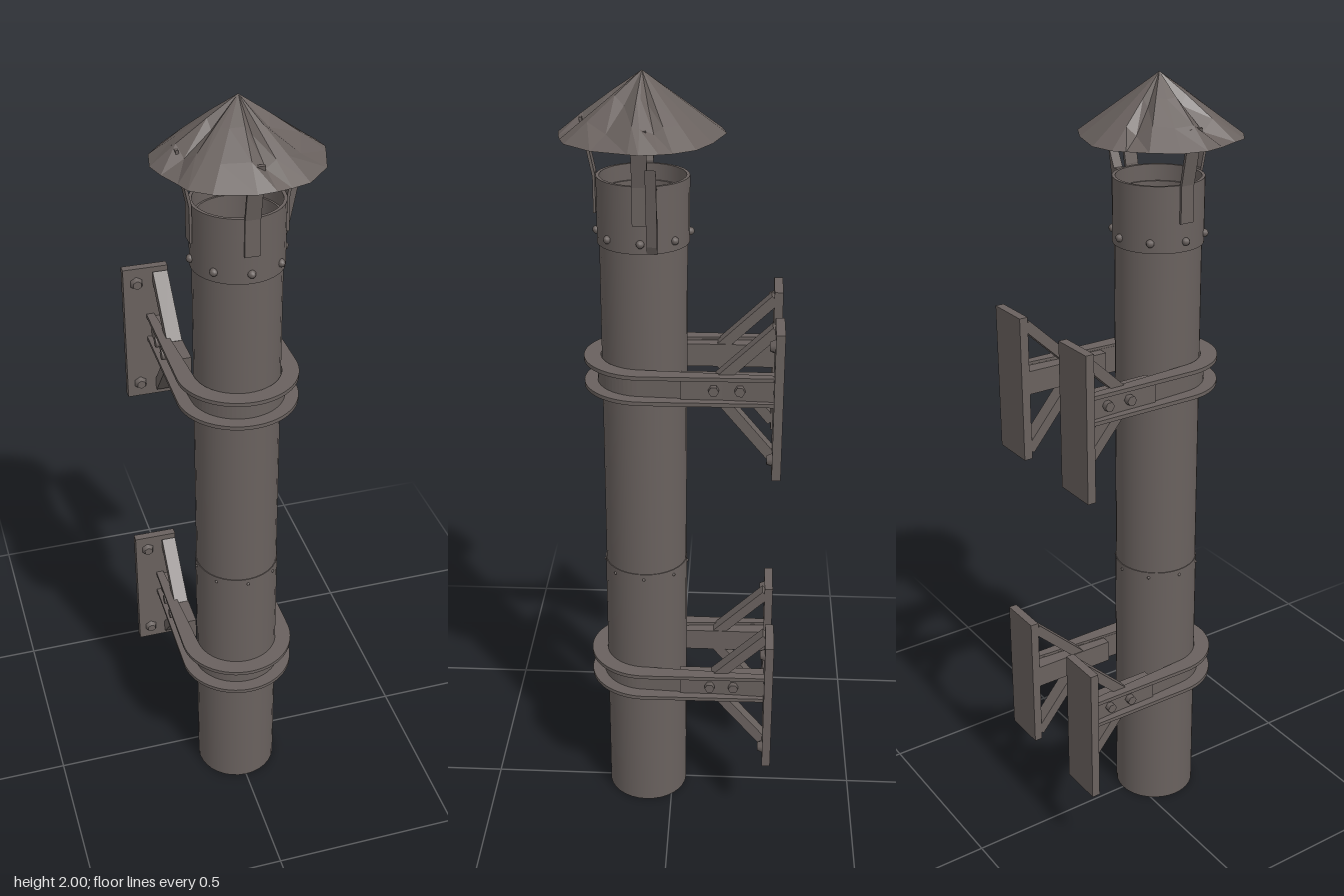
import * as THREE from 'three';

const PIPE_Z = 0.07; // pipe axis
const metal = new THREE.MeshStandardMaterial({ color: 0x69615e, side: THREE.DoubleSide });
metal.name = 'sooty steel';
const foldedMetal = metal; // one colour throughout

function add(parent, name, geometry, x = 0, y = 0, z = 0) {
  const mesh = new THREE.Mesh(geometry, metal);
  mesh.name = name;
  mesh.position.set(x, y, z);
  parent.add(mesh);
  return mesh;
}

// Open tube with a wall thickness
function tube(r, y0, y1, wall = 0.008) {
  const p = [[r - wall, y0], [r, y0], [r, y0], [r, y1], [r, y1], [r - wall, y1], [r - wall, y1], [r - wall, y0]];
  return new THREE.LatheGeometry(p.map(([a, b]) => new THREE.Vector2(a, b)), 32);
}

// Flat bar between two points, w wide across, t thick
function bar(parent, name, a, b, w, t) {
  const from = new THREE.Vector3(...a), to = new THREE.Vector3(...b);
  const mesh = add(parent, name, new THREE.BoxGeometry(w, from.distanceTo(to), t));
  mesh.position.copy(from).add(to).multiplyScalar(0.5);
  mesh.quaternion.setFromUnitVectors(new THREE.Vector3(0, 1, 0), to.sub(from).normalize());
  return mesh;
}

// Horizontal U-shaped plate hugging the pipe, its arms running to the wall
function uPlate(ri, ro, endIn, endOut, height) {
  const s = new THREE.Shape();
  s.moveTo(endOut, -0.25);
  s.lineTo(ro, PIPE_Z);
  s.absarc(0, PIPE_Z, ro, 0, Math.PI, false);
  s.lineTo(-endOut, -0.25);
  s.lineTo(-endIn, -0.25);
  s.lineTo(-ri, PIPE_Z);
  s.absarc(0, PIPE_Z, ri, Math.PI, 0, true);
  s.lineTo(endIn, -0.25);
  s.closePath();
  const g = new THREE.ExtrudeGeometry(s, { depth: height, bevelEnabled: false, curveSegments: 16 });
  return g.rotateX(Math.PI / 2).translate(0, height / 2, 0);
}

// Ring of rivets round the pipe
function rivets(parent, name, count, r, y, size) {
  for (let i = 0; i < count; i++) {
    const a = (i / count) * Math.PI * 2;
    add(parent, name, new THREE.SphereGeometry(size, 8, 6), Math.sin(a) * r, y, PIPE_Z + Math.cos(a) * r);
  }
}

// Dented conical cap: rim outline [x, z, dent at mid height]
function capGeometry() {
  const rim = [
    [-0.015, -0.125, 0], [-0.075, -0.112, 0], [-0.1, -0.09, -0.02], [-0.14, -0.055, 0.004], [-0.185, 0, 0],
    [-0.198, 0.065, 0.003], [-0.185, 0.115, -0.018], [-0.162, 0.17, 0.004], [-0.15, 0.205, 0], [-0.105, 0.24, 0],
    [-0.015, 0.267, 0.004], [0.03, 0.262, -0.016], [0.065, 0.255, 0], [0.11, 0.24, 0], [0.17, 0.175, -0.018],
    [0.197, 0.09, 0.004], [0.204, 0.065, 0], [0.195, 0.02, -0.012], [0.185, -0.01, 0], [0.15, -0.06, 0], [0.085, -0.095, 0],
  ];
  const at = (i, t) => {
    const [x, z, dent] = rim[i % rim.length];
    const drop = t > 0.3 && t < 1 ? dent : 0;
    return [x * t, 2 - 0.145 * t + drop, PIPE_Z + (z - PIPE_Z) * t];
  };
  const rows = [0, 0.35, 0.7, 1], pos = [];
  for (let i = 0; i < rim.length; i++) {
    for (let k = 0; k < 3; k++) {
      const a = at(i, rows[k]), b = at(i + 1, rows[k]);
      const c = at(i, rows[k + 1]), d = at(i + 1, rows[k + 1]);
      pos.push(...a, ...c, ...d);
      if (k) pos.push(...a, ...d, ...b);
    }
  }
  const g = new THREE.BufferGeometry();
  g.setAttribute('position', new THREE.Float32BufferAttribute(pos, 3));
  g.computeVertexNormals();
  return g;
}

// Clamp with two wall brackets, centred on height y
function clamp(y) {
  const group = new THREE.Group();
  group.name = 'wallClamp';
  group.position.y = y;
  add(group, 'strapWeb', uPlate(0.107, 0.117, 0.127, 0.135, 0.064));
  for (const h of [-0.033, 0.033]) add(group, 'strapFlange', uPlate(0.108, 0.15, 0.127, 0.147, 0.01), 0, h, 0);
  for (const s of [-1, 1]) {
    add(group, 'wallPlate', new THREE.BoxGeometry(0.116, 0.375, 0.022), s * 0.146, -0.017, -0.26);
    add(group, 'bracketArm', new THREE.BoxGeometry(0.04, 0.06, 0.225), s * 0.108, 0, -0.138);
    for (const v of [-1, 1]) {
      const wallY = v > 0 ? 0.15 : -0.182;
      bar(group, 'brace', [s * 0.109, wallY, -0.252], [s * 0.109, v * 0.022, -0.118], 0.038, 0.026);
    }
    for (const h of [0.13, -0.165]) {
      const bolt = add(group, 'wallBolt', new THREE.CylinderGeometry(0.012, 0.018, 0.014, 6), s * 0.17, h, -0.243);
      bolt.rotation.x = Math.PI / 2;
    }
    for (const z of [-0.105, -0.168]) {
      const bolt = add(group, 'armBolt', new THREE.CylinderGeometry(0.013, 0.013, 0.016, 6), s * 0.138, 0, z);
      bolt.rotation.z = Math.PI / 2;
    }
  }
  return group;
}

export function createModel() {
  const model = new THREE.Group();
  model.name = 'chimneyPipe';

  // Pipe sections and top collar
  add(model, 'lowerPipe', tube(0.108, 0, 0.735), 0, 0, PIPE_Z);
  add(model, 'upperPipe', tube(0.106, 0.7, 1.72), 0, 0, PIPE_Z);
  add(model, 'topCollar', tube(0.111, 1.6, 1.76), 0, 0, PIPE_Z);
  rivets(model, 'collarScrew', 8, 0.112, 1.625, 0.01);
  rivets(model, 'jointRivet', 8, 0.108, 0.72, 0.004);

  // Clamps holding the pipe to the wall
  model.add(clamp(1.272), clamp(0.41));

  // Cap and its legs
  add(model, 'rainCap', capGeometry());
  for (const turn of [-1, 0, 1]) {
    const leg = new THREE.Group();
    leg.name = 'capLeg';
    leg.position.z = PIPE_Z;
    leg.rotation.y = turn * Math.PI / 2;
    bar(leg, 'legFoot', [0, 1.67, 0.114], [0, 1.765, 0.114], 0.036, 0.006);
    bar(leg, 'legStrut', [0, 1.76, 0.114], [0, 1.895, 0.142], 0.036, 0.007);
    model.add(leg);
  }

  // Torn strip bent away from the collar
  const strip = new THREE.Shape([[0.108, 1.6], [0.118, 1.62], [0.156, 1.81], [0.13, 1.755], [0.108, 1.755]]
    .map(([x, y]) => new THREE.Vector2(x, y)));
  add(model, 'bentStrip', new THREE.ExtrudeGeometry(strip, { depth: 0.025, bevelEnabled: false }), 0, 0, 0.03);
  return model;
}
